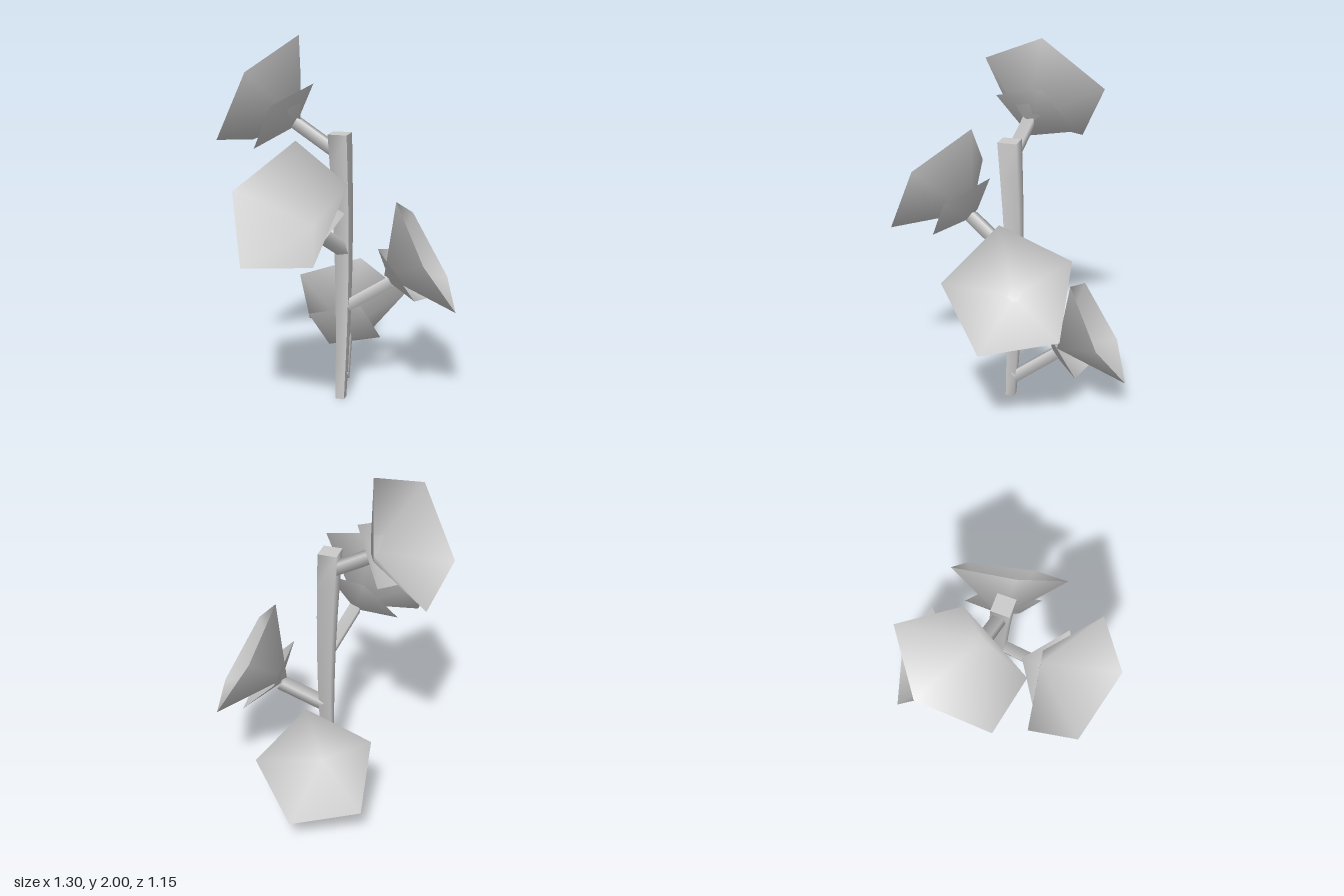
import * as THREE from 'three';

const material = new THREE.MeshStandardMaterial({ color: 0xcccccc, side: THREE.DoubleSide });
const V = (p) => new THREE.Vector3(...p);

// Open shallow cone: a regular rim through two neighbouring corners a, b, with its tip behind the rim.
function cup(name, centre, a, b, sides, depth) {
  const c = V(centre);
  const u = V(a).sub(c);
  const n = u.clone().cross(V(b).sub(c)).normalize();
  const v = n.clone().cross(u);
  const points = [c.clone().addScaledVector(n, -depth)];
  const index = [];
  for (let i = 0; i < sides; i++) {
    const t = (i / sides) * Math.PI * 2;
    points.push(c.clone().addScaledVector(u, Math.cos(t)).addScaledVector(v, Math.sin(t)));
    index.push(0, i + 1, ((i + 1) % sides) + 1);
  }
  const geometry = new THREE.BufferGeometry().setFromPoints(points);
  geometry.setIndex(index);
  geometry.computeVertexNormals();
  const mesh = new THREE.Mesh(geometry, material);
  mesh.name = name;
  return mesh;
}

// Four-sided stalk between two points.
function stalk(from, to, radius) {
  const a = V(from), b = V(to);
  const mesh = new THREE.Mesh(new THREE.CylinderGeometry(radius, radius, a.distanceTo(b), 4), material);
  mesh.position.copy(a).lerp(b, 0.5);
  mesh.quaternion.setFromUnitVectors(new THREE.Vector3(0, 1, 0), b.sub(a).normalize());
  mesh.name = 'stalk';
  return mesh;
}

// Square stem that widens upward and bows slightly.
function stem() {
  const height = 1.5;
  const geometry = new THREE.CylinderGeometry(1, 1, height, 4, 8);
  const pos = geometry.attributes.position;
  for (let i = 0; i < pos.count; i++) {
    const t = pos.getY(i) / height + 0.5;
    const r = 0.035 + 0.038 * t;
    const bow = Math.sin(Math.PI * t);
    pos.setXYZ(i, pos.getX(i) * r - 0.008 * t + 0.027 * bow, t * height, pos.getZ(i) * r + 0.055 - 0.012 * bow);
  }
  geometry.computeVertexNormals();
  const mesh = new THREE.Mesh(geometry, material);
  mesh.name = 'stem';
  return mesh;
}

// Each flower: stalk ends, then centre and two neighbouring rim corners of the petals and of the sepals.
const flowers = [
  {
    name: 'backLeftFlower',
    stalk: [[0.02, 0.12, 0.04], [0.145, 0.275, -0.155]],
    petals: [[0.276, 0.437, -0.35], [0.537, 0.47, -0.161], [0.252, 0.718, -0.175]],
    sepals: [[0.168, 0.309, -0.211], [0.186, 0.474, -0.053], [0.363, 0.222, -0.15]],
  },
  {
    name: 'frontLeftFlower',
    stalk: [[0.04, 0.54, 0.06], [0.245, 0.675, 0.17]],
    petals: [[0.41, 0.839, 0.277], [0.507, 0.99, -0.028], [0.23, 1.139, 0.246]],
    sepals: [[0.302, 0.72, 0.207], [0.364, 0.8, -0.01], [0.138, 0.889, 0.216]],
  },
  {
    name: 'frontRightFlower',
    stalk: [[0.01, 0.865, 0.06], [-0.225, 1.03, 0.18]],
    petals: [[-0.437, 1.185, 0.275], [-0.576, 1.224, -0.066], [-0.654, 0.895, 0.206]],
    sepals: [[-0.29, 1.07, 0.211], [-0.155, 1.155, 0.377], [-0.215, 1.24, 0.063]],
  },
  {
    name: 'backRightFlower',
    stalk: [[-0.02, 1.4, 0.04], [-0.165, 1.54, -0.145]],
    petals: [[-0.28, 1.682, -0.31], [-0.119, 1.997, -0.198], [0.036, 1.722, -0.497]],
    sepals: [[-0.21, 1.568, -0.208], [-0.055, 1.74, -0.157], [-0.059, 1.482, -0.368]],
  },
];

export function createModel() {
  const model = new THREE.Group();
  model.name = 'plant';
  model.add(stem());

  for (const f of flowers) {
    const flower = new THREE.Group();
    flower.name = f.name;
    // Make sure the rim corners run so that the cups open away from the stem.
    const open = ([c, a, b]) => {
      const n = V(a).sub(V(c)).cross(V(b).sub(V(c)));
      return n.dot(V(f.stalk[1]).sub(V(f.stalk[0]))) > 0 ? [c, a, b] : [c, b, a];
    };
    flower.add(
      stalk(...f.stalk, 0.043),
      cup('petals', ...open(f.petals), 5, 0.265),
      cup('sepals', ...open(f.sepals), 4, 0.085),
    );
    model.add(flower);
  }
  return model;
}
